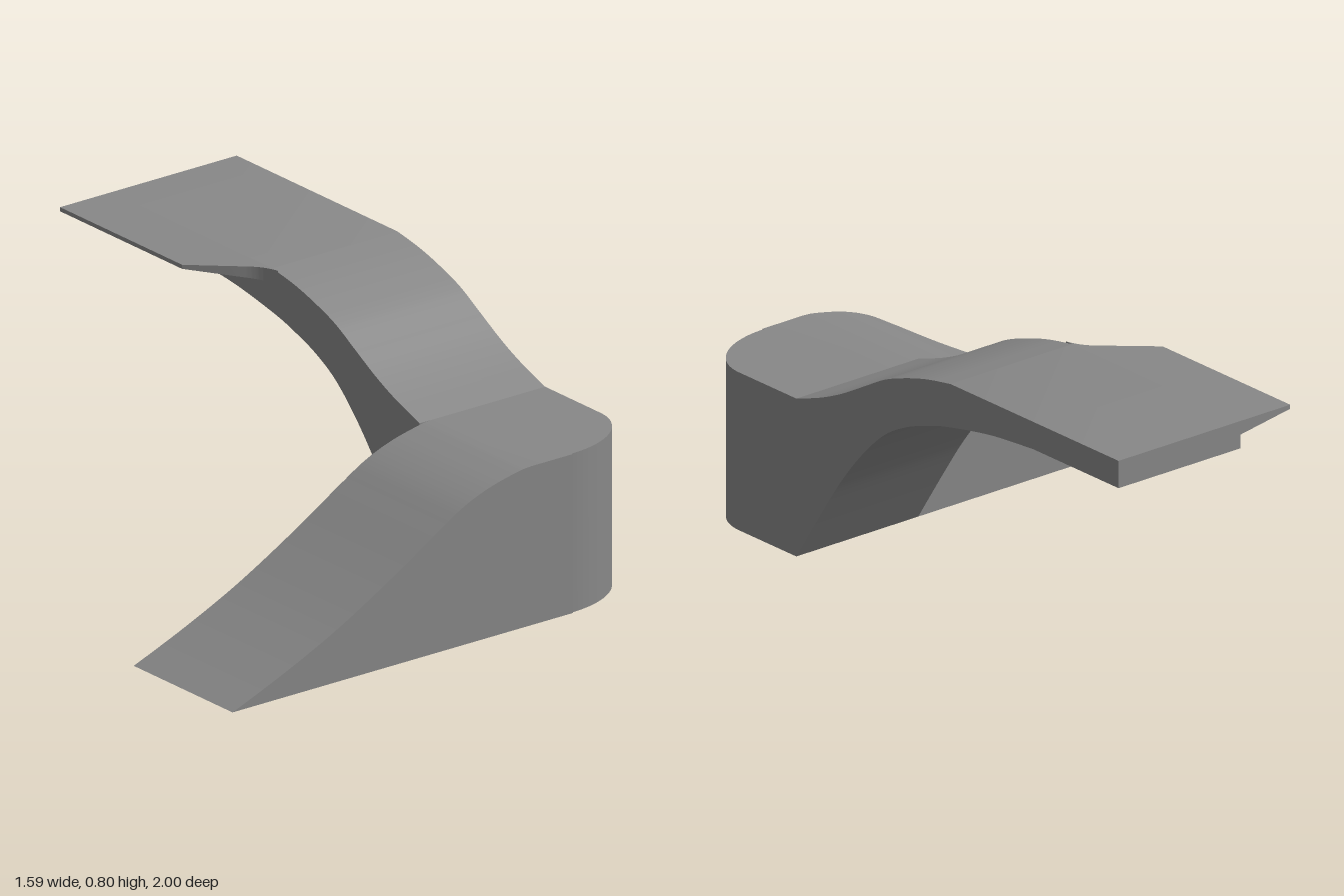
import * as THREE from 'three';
import { toCreasedNormals } from 'three/addons/utils/BufferGeometryUtils.js';

const LEFT = 0.795, INNER = 0.31, BACK = 0.515, DECK = 0.52, TOP = 0.8;

const vecs = (pts) => pts.map(([x, y]) => new THREE.Vector2(x, y));

const extrude = (shape, depth) =>
  new THREE.ExtrudeGeometry(shape, { depth, bevelEnabled: false, curveSegments: 24 });

export function createModel() {
  const group = new THREE.Group();
  const concrete = new THREE.MeshStandardMaterial({ color: 0x888888 });
  concrete.name = 'concrete grey';

  const add = (name, geometry) => {
    const mesh = new THREE.Mesh(toCreasedNormals(geometry, 0.45), concrete);
    mesh.name = name;
    group.add(mesh);
  };

  // Lower ramp: side profile swept front to back, rising to the landing
  const ramp = new THREE.Shape();
  ramp.moveTo(0.52, DECK);
  ramp.lineTo(0.36, DECK);
  ramp.splineThru(vecs([[0.31, 0.515], [0.2, 0.49], [0.1, 0.452], [0, 0.395], [-0.2, 0.275],
    [-0.4, 0.167], [-0.6, 0.077], [-LEFT, 0]]));
  ramp.lineTo(0.52, 0);
  add('lowerRamp', extrude(ramp, 1 - BACK).translate(0, 0, BACK));

  // Landing corner: plan with a rounded outer corner, raised to deck height
  const corner = new THREE.Shape();
  corner.moveTo(0.52, -BACK);
  corner.lineTo(0.52, -0.995);
  corner.absellipse(0.52, -0.785, LEFT - 0.52, 0.21, -Math.PI / 2, 0, false);
  corner.lineTo(LEFT, -BACK);
  add('landingCorner', extrude(corner, DECK).rotateX(-Math.PI / 2));

  // Upper ramp: curved slab profile (z, y) swept across the width
  const upper = new THREE.Shape();
  upper.moveTo(BACK, 0);
  upper.lineTo(BACK, DECK);
  upper.splineThru(vecs([[0.4, 0.56], [0.3, 0.605], [0.2, 0.66], [0.1, 0.715], [0, 0.752],
    [-0.1, 0.78], [-0.21, TOP]]));
  upper.lineTo(-1, TOP);
  upper.lineTo(-1, 0.71);
  upper.lineTo(-0.6, 0.71);
  upper.splineThru(vecs([[-0.4, 0.692], [-0.2, 0.655], [-0.1, 0.627], [0, 0.59], [0.1, 0.533],
    [0.2, 0.44], [0.3, 0.32], [0.4, 0.175], [BACK, 0]]));
  add('upperRamp', extrude(upper, LEFT - INNER).rotateY(-Math.PI / 2).translate(LEFT, 0, 0));

  // Platform wing: thin flare beside the top slab, its underside tapering outward
  const wing = new THREE.Shape();
  wing.moveTo(INNER, 1);
  wing.lineTo(0.112, 1);
  wing.lineTo(0.112, 0.4);
  wing.lineTo(0.25, 0.275);
  wing.quadraticCurveTo(0.3, 0.235, INNER, 0.18);
  const wingGeo = extrude(wing, 0.045).rotateX(-Math.PI / 2).translate(0, 0.755, 0);
  const p = wingGeo.attributes.position;
  for (let i = 0; i < p.count; i++) {
    if (p.getY(i) < 0.78) p.setY(i, 0.755 + (INNER - p.getX(i)) * 0.16);
  }
  add('platformWing', wingGeo);

  return group;
}
